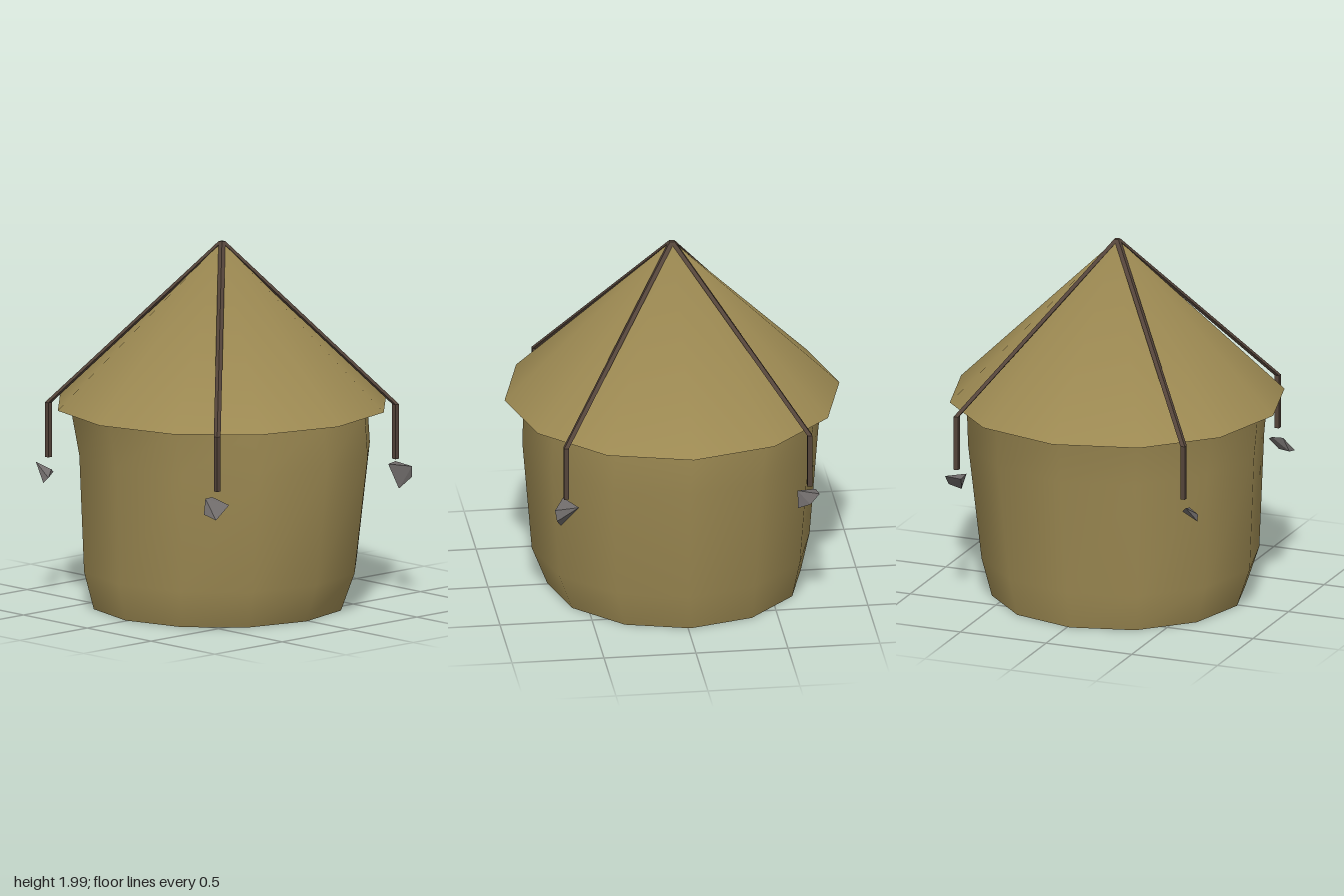
import * as THREE from 'three';
import { mergeVertices } from 'three/addons/utils/BufferGeometryUtils.js';
import { ConvexGeometry } from 'three/addons/geometries/ConvexGeometry.js';

const SIDES = 12;

// Weld a geometry so that its normals are smooth all over
function smooth(geometry) {
  geometry.deleteAttribute('uv');
  geometry.deleteAttribute('normal');
  const welded = mergeVertices(geometry, 1e-4);
  welded.computeVertexNormals();
  return welded;
}

// Slightly uneven wall rings, bottom to top: y, radius, centre x, centre z
const RINGS = [
  [0, 0.69, -0.015, -0.013],
  [0.21, 0.755, -0.017, 0.005],
  [0.85, 0.805, 0.01, 0.01],
  [1.1, 0.82, -0.008, -0.015],
];

function wallGeometry() {
  const g = new THREE.CylinderGeometry(1, 1, 3, SIDES, 3, true);
  const p = g.attributes.position;
  for (let i = 0; i < p.count; i++) {
    const [y, r, cx, cz] = RINGS[Math.round(p.getY(i) + 1.5)];
    p.setXYZ(i, p.getX(i) * r + cx, y, p.getZ(i) * r + cz);
  }
  return smooth(g);
}

// Downward-facing disc
function discGeometry(radius, x, y, z) {
  return new THREE.CircleGeometry(radius, SIDES).rotateX(Math.PI / 2).translate(x, y, z);
}

// Square bar whose two ends stay level, from bottom to top
function barGeometry(bottom, top, width = 0.026) {
  const g = new THREE.BoxGeometry(width, 1, width);
  const p = g.attributes.position;
  for (let i = 0; i < p.count; i++) {
    const c = new THREE.Vector3().lerpVectors(bottom, top, p.getY(i) + 0.5);
    p.setXYZ(i, p.getX(i) + c.x, c.y, p.getZ(i) + c.z);
  }
  g.computeVertexNormals();
  return g;
}

// Rough stone weights, one for each rope
const STONES = [
  { sx: 1, sz: 1, points: [[0.6, 0.78, 0.67], [0.72, 0.77, 0.6], [0.73, 0.7, 0.72], [0.66, 0.64, 0.69], [0.72, 0.76, 0.73]] },
  { sx: -1, sz: 1, points: [[-0.735, 0.66, 0.73], [-0.71, 0.76, 0.62], [-0.65, 0.76, 0.61], [-0.6, 0.72, 0.69], [-0.67, 0.68, 0.66], [-0.74, 0.68, 0.64]] },
  { sx: 1, sz: -1, points: [[0.62, 0.76, -0.7], [0.71, 0.77, -0.71], [0.71, 0.71, -0.66], [0.66, 0.67, -0.6], [0.63, 0.76, -0.6]] },
  { sx: -1, sz: -1, points: [[-0.7, 0.77, -0.72], [-0.645, 0.72, -0.64], [-0.72, 0.7, -0.6], [-0.73, 0.67, -0.63], [-0.68, 0.74, -0.62]] },
];

export function createModel() {
  const model = new THREE.Group();
  model.name = 'thatchedHut';

  const material = (name, color) => {
    const m = new THREE.MeshStandardMaterial({ color });
    m.name = name;
    return m;
  };
  const straw = material('straw', 0x9c8952);
  const rope = material('rope', 0x54443a);
  const stone = material('stone', 0x706c6b);

  const add = (parent, name, geometry, mat) => {
    const mesh = new THREE.Mesh(geometry, mat);
    mesh.name = name;
    parent.add(mesh);
  };

  // Bulging wall and its flat base
  const [y0, r0, x0, z0] = RINGS[0];
  add(model, 'wall', wallGeometry(), straw);
  add(model, 'base', discGeometry(r0, x0, y0, z0), straw);

  // Conical roof with a flat underside
  const cone = new THREE.ConeGeometry(0.91, 0.89, SIDES, 1, true).translate(0, 1.545, 0);
  add(model, 'roof', smooth(cone), straw);
  add(model, 'roofUnderside', discGeometry(0.91, 0, 1.1, 0), straw);

  // Four ropes over the roof, each with a hanging end and a stone
  const apex = new THREE.Vector3(0, 1.99, 0);
  for (const { sx, sz, points } of STONES) {
    const tie = new THREE.Group();
    tie.name = `${sz > 0 ? 'front' : 'back'}${sx > 0 ? 'Left' : 'Right'}Tie`;
    const bend = new THREE.Vector3(0.662 * sx, 1.1, 0.662 * sz);
    const end = bend.clone().setY(0.8);
    add(tie, 'roofRope', barGeometry(bend, apex), rope);
    add(tie, 'hangingRope', barGeometry(end, bend), rope);
    add(tie, 'stoneWeight', new ConvexGeometry(points.map((p) => new THREE.Vector3(...p))), stone);
    model.add(tie);
  }

  return model;
}
